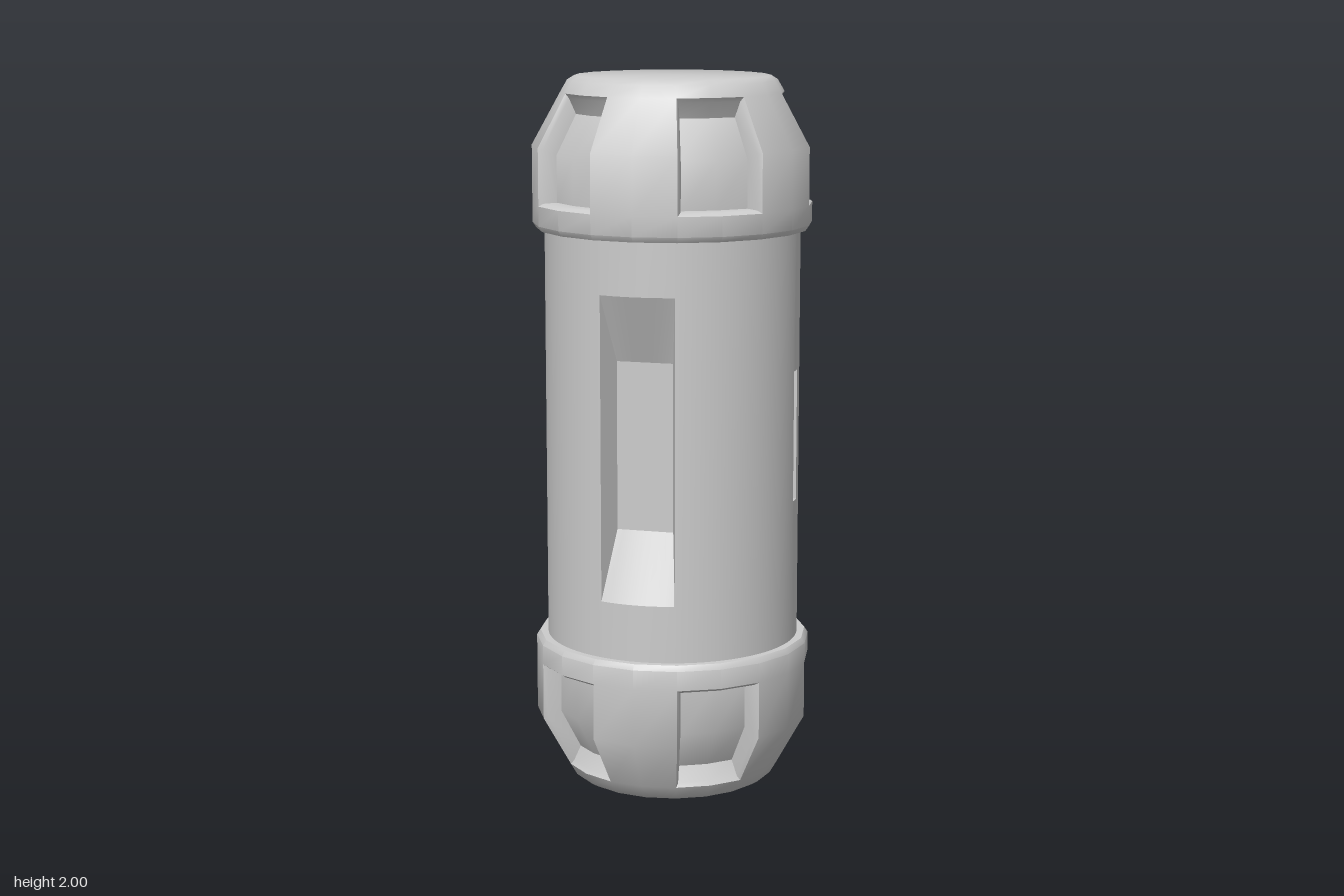
import * as THREE from 'three';
import { toCreasedNormals } from 'three/addons/utils/BufferGeometryUtils.js';

const rad = THREE.MathUtils.degToRad;

// Point on a circle around the y axis; 0 degrees faces the front (+z), 90 faces +x.
const polar = (r, y, deg) => [r * Math.sin(rad(deg)), y, r * Math.cos(rad(deg))];

// Grid of points: profile [r, y] from bottom to top, swept from angle a0 to a1.
function sweep(profile, a0, a1, segments) {
  return profile.map(([r, y]) =>
    Array.from({ length: segments + 1 }, (_, j) => polar(r, y, a0 + (a1 - a0) * j / segments)));
}

// Outline of a grid, counter-clockwise seen from outside, closed.
function outline(grid) {
  const bottom = grid[0], top = grid[grid.length - 1], middle = grid.slice(1, -1);
  return [
    ...bottom,
    ...middle.map(row => row[row.length - 1]),
    ...[...top].reverse(),
    ...middle.map(row => row[0]).reverse(),
    bottom[0],
  ];
}

// Collects quads from grids and turns them into one geometry.
class Skin {
  constructor() { this.positions = []; }

  add(grid) {
    for (let i = 0; i < grid.length - 1; i++) {
      for (let j = 0; j < grid[i].length - 1; j++) {
        const a = grid[i][j], b = grid[i][j + 1], c = grid[i + 1][j + 1], d = grid[i + 1][j];
        this.positions.push(...a, ...b, ...c, ...a, ...c, ...d);
      }
    }
  }

  // Pocket: walls step from each layer's outline to the next; the last layer is the floor.
  addPocket(layers) {
    this.add(layers.map(outline));
    this.add(layers[layers.length - 1]);
  }

  build(crease) {
    const geometry = new THREE.BufferGeometry();
    geometry.setAttribute('position', new THREE.Float32BufferAttribute(this.positions, 3));
    return toCreasedNormals(geometry, crease);
  }
}

// Half of the tube: one sunken panel facing the front and one narrow slot on the side.
function bodyHalfGeometry() {
  const R = 0.357, y0 = 0.41, y1 = 1.59;
  const panel = THREE.MathUtils.radToDeg(Math.asin(0.105 / R));
  const slot = 2.8;
  const skin = new Skin();
  const wall = (bottom, top, a0, a1, n) => skin.add(sweep([[R, bottom], [R, top]], a0, a1, n));

  // Sunken panel with sloped ends
  const n = 8;
  wall(y0, 0.58, -panel, panel, n);
  wall(1.43, y1, -panel, panel, n);
  const floor = [0.77, 1.24].map(y =>
    Array.from({ length: n + 1 }, (_, j) => [-0.08 + 0.16 * j / n, y, 0.27]));
  skin.addPocket([sweep([[R, 0.58], [R, 1.43]], -panel, panel, n), floor]);

  // Plain wall on both sides of the slot
  wall(y0, y1, panel, 90 - slot, 14);
  wall(y0, y1, 90 + slot, 180 - panel, 14);

  // Slot
  wall(y0, 0.82, 90 - slot, 90 + slot, 2);
  wall(1.19, y1, 90 - slot, 90 + slot, 2);
  skin.addPocket([
    sweep([[R, 0.82], [R, 1.19]], 90 - slot, 90 + slot, 2),
    sweep([[R - 0.015, 0.825], [R - 0.015, 1.185]], 90 - slot, 90 + slot, 2),
  ]);
  return skin.build(0.3);
}

// Twenty-sided upper cap with five windows separated by ribs.
function capGeometry() {
  const lower = [[0.34, 1.58], [0.38, 1.58], [0.39, 1.595], [0.39, 1.65]];
  const rim = [[0.39, 1.65], [0.39, 1.81], [0.31, 1.955]];
  const upper = [[0.31, 1.955], [0.291, 1.988], [0.272, 2], [0, 2]];
  const bevel = [[0.378, 1.658], [0.378, 1.806], [0.302, 1.943]];
  const floor = [[0.34, 1.66], [0.34, 1.79], [0.283, 1.9]];
  const skin = new Skin();

  for (let k = 0; k < 5; k++) {
    const mid = 180 + 72 * k;
    const sector = (profile, half) => sweep(profile, mid - half, mid + half, 2);

    // Window bay
    skin.add(sector(lower, 18));
    skin.add(sector(upper, 18));
    skin.addPocket([sector(rim, 18), sector(bevel, 16.9), sector(floor, 16.2)]);

    // Rib
    skin.add(sweep([...lower, ...rim.slice(1), ...upper.slice(1)], mid + 18, mid + 54, 2));
  }
  return skin.build(0.6);
}

export function createModel() {
  const model = new THREE.Group();
  model.name = 'canister';
  const material = new THREE.MeshStandardMaterial({ color: 0xcccccc });

  // Tube from two identical halves
  const half = bodyHalfGeometry();
  for (const [name, turn] of [['bodyFront', 0], ['bodyBack', Math.PI]]) {
    const mesh = new THREE.Mesh(half, material);
    mesh.name = name;
    mesh.rotation.y = turn;
    model.add(mesh);
  }

  // Caps; the lower one is the upper one turned over
  const cap = capGeometry();
  const topCap = new THREE.Mesh(cap, material);
  topCap.name = 'topCap';
  const bottomCap = new THREE.Mesh(cap, material);
  bottomCap.name = 'bottomCap';
  bottomCap.rotation.z = Math.PI;
  bottomCap.position.y = 2;
  model.add(topCap, bottomCap);

  return model;
}
